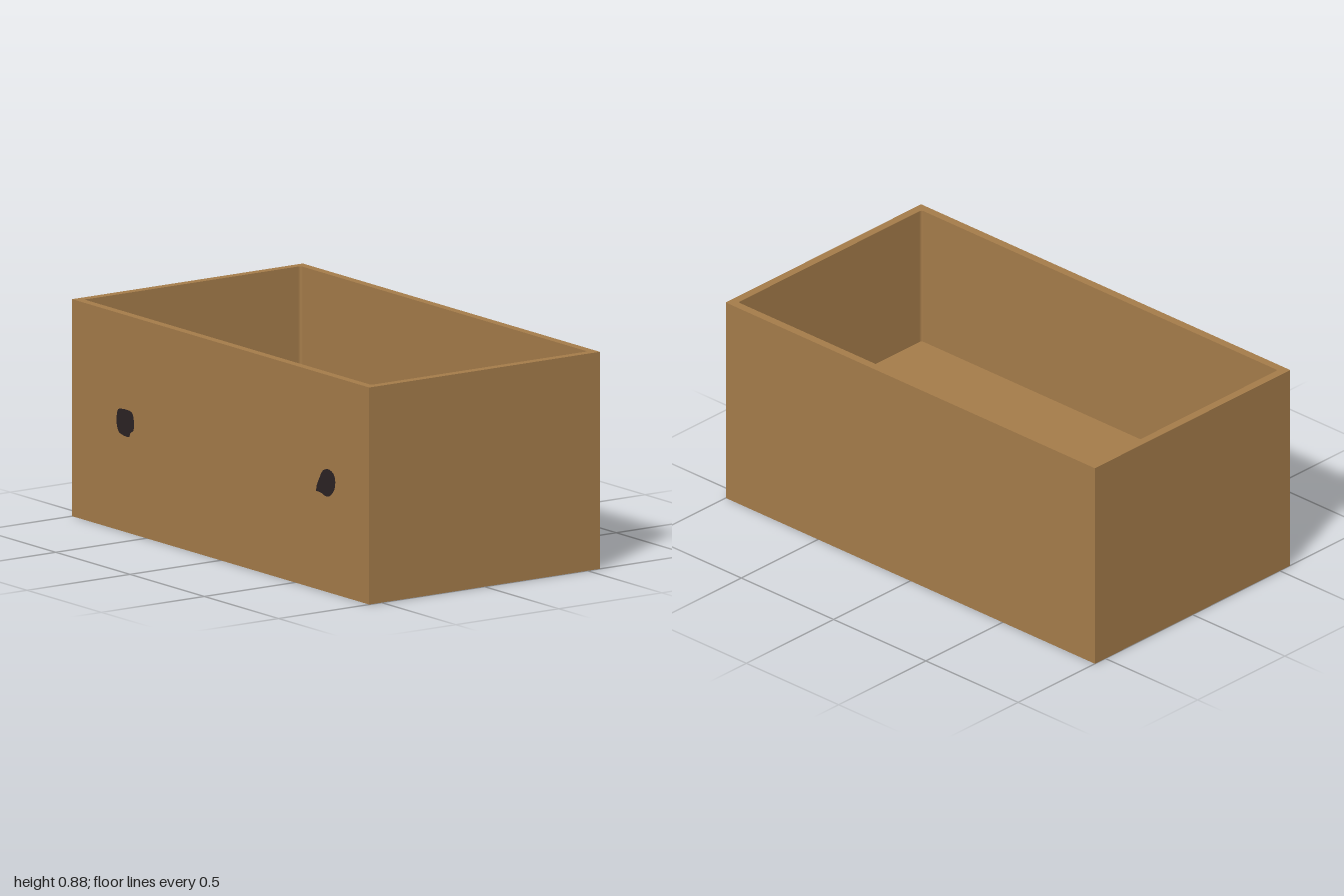
import * as THREE from 'three';

const W = 2, H = 0.875, D = 1.12;   // outer size
const WALL = 0.035, FLOOR = 0.29;   // wall thickness, height of the inner floor

const wood = new THREE.MeshStandardMaterial({ name: 'wood', color: 0xa57c4a });
const dark = new THREE.MeshStandardMaterial({ name: 'darkKnot', color: 0x2b2224 });

// Rectangle outline centred on the origin, with optional corner radius
function rectPath(path, w, d, r = 0) {
  const x = w / 2, y = d / 2;
  path.moveTo(-x + r, -y);
  path.lineTo(x - r, -y);
  if (r) path.quadraticCurveTo(x, -y, x, -y + r);
  path.lineTo(x, y - r);
  if (r) path.quadraticCurveTo(x, y, x - r, y);
  path.lineTo(-x + r, y);
  if (r) path.quadraticCurveTo(-x, y, -x, y - r);
  path.lineTo(-x, -y + r);
  if (r) path.quadraticCurveTo(-x, -y, -x + r, -y);
  return path;
}

// Irregular flat spot on the front wall, outlined by a few points
function knot(name, points) {
  const outline = new THREE.Shape();
  const [first, ...rest] = points.map(([x, y]) => new THREE.Vector2(x, y));
  outline.moveTo(first.x, first.y);
  outline.splineThru([...rest, first]);
  const mesh = new THREE.Mesh(new THREE.ShapeGeometry(outline, 4), dark);
  mesh.name = name;
  mesh.position.z = D / 2 + 0.002;
  return mesh;
}

export function createModel() {
  const crate = new THREE.Group();
  crate.name = 'openCrate';

  // Walls: a rectangular ring standing on the base
  const ring = rectPath(new THREE.Shape(), W, D);
  ring.holes.push(rectPath(new THREE.Path(), W - 2 * WALL, D - 2 * WALL, 0.012));
  const wallGeometry = new THREE.ExtrudeGeometry(ring, { depth: H, bevelEnabled: false, curveSegments: 4 });
  wallGeometry.rotateX(-Math.PI / 2);
  const walls = new THREE.Mesh(wallGeometry, wood);
  walls.name = 'walls';
  crate.add(walls);

  // Thick base filling the bottom of the ring
  const base = new THREE.Mesh(new THREE.BoxGeometry(W - 2 * WALL, FLOOR, D - 2 * WALL), wood);
  base.name = 'base';
  base.position.y = FLOOR / 2;
  crate.add(base);

  // Two dark spots on the front wall
  crate.add(
    knot('rightKnot', [
      [-0.70, 0.44], [-0.69, 0.484], [-0.658, 0.494], [-0.60, 0.492], [-0.583, 0.465],
      [-0.583, 0.422], [-0.605, 0.405], [-0.617, 0.387], [-0.668, 0.391], [-0.69, 0.406],
    ]),
    knot('leftKnot', [
      [0.645, 0.396], [0.65, 0.42], [0.668, 0.453], [0.69, 0.485], [0.727, 0.497], [0.76, 0.486],
      [0.774, 0.46], [0.768, 0.422], [0.738, 0.391], [0.705, 0.386], [0.68, 0.394],
    ]),
  );
  return crate;
}
